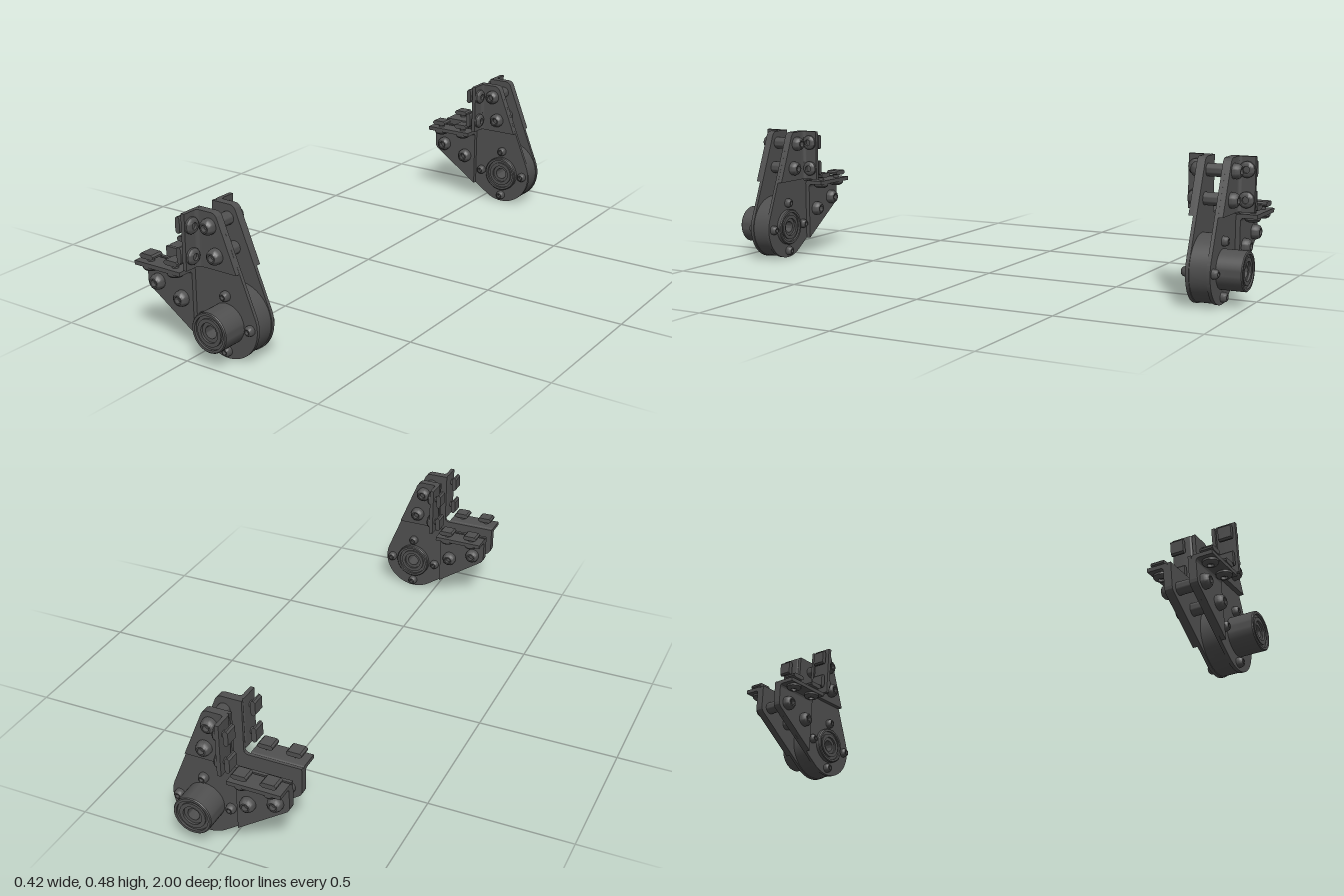
import * as THREE from 'three';
import { toCreasedNormals } from 'three/addons/utils/BufferGeometryUtils.js';

const CX = 0.0925, CY = 0.119, R = 0.118; // axle centre and rounded end radius
const BORE = 0.021;
const MID = 0.87; // distance of each unit from the centre
const V = (x, y, z) => new THREE.Vector3(x, y, z);

const darkGrey = new THREE.MeshStandardMaterial({ color: 0x505050 });
darkGrey.name = 'dark grey';

function mesh(name, geo, parent) {
  const m = new THREE.Mesh(toCreasedNormals(geo, 0.6), darkGrey);
  m.name = name;
  parent.add(m);
  return m;
}

// Turn a part built along +y so that it points along dir
function aim(m, pos, dir) {
  m.position.copy(pos);
  m.quaternion.setFromUnitVectors(V(0, 1, 0), dir);
  return m;
}

const lathe = (pts, seg = 32) =>
  new THREE.LatheGeometry(pts.map(p => new THREE.Vector2(p[0], p[1])), seg);

// Flat sheet in xy, spanning z0..z1
function sheet(name, shape, z0, z1, parent) {
  const geo = new THREE.ExtrudeGeometry(shape, { depth: z1 - z0, bevelEnabled: false, curveSegments: 32 });
  geo.translate(0, 0, z0);
  return mesh(name, geo, parent);
}

function boreHole(shape) {
  shape.holes.push(new THREE.Path().absarc(CX, CY, BORE, 0, Math.PI * 2, false));
  return shape;
}

function sidePlateShape() {
  const s = new THREE.Shape();
  s.moveTo(-0.212, 0.284);
  s.lineTo(-0.028, 0.284);
  s.quadraticCurveTo(-0.012, 0.284, -0.012, 0.3);
  s.lineTo(-0.012, 0.48);
  s.lineTo(0.055, 0.48);
  s.quadraticCurveTo(0.073, 0.48, 0.08, 0.464);
  s.lineTo(CX + R * 0.926, CY + R * 0.377);
  s.absarc(CX, CY, R, 0.387, -2.164, true);
  s.lineTo(-0.2, 0.177);
  s.quadraticCurveTo(-0.212, 0.185, -0.212, 0.2);
  s.closePath();
  return boreHole(s);
}

function upperArmShape() {
  const s = new THREE.Shape();
  s.moveTo(0.018, 0.295);
  s.lineTo(0.148, 0.295);
  s.lineTo(0.08, 0.464);
  s.quadraticCurveTo(0.073, 0.48, 0.055, 0.48);
  s.lineTo(0.018, 0.48);
  s.closePath();
  return s;
}

function lowerArmShape() {
  const s = new THREE.Shape();
  s.moveTo(-0.212, 0.254);
  s.lineTo(-0.212, 0.2);
  s.quadraticCurveTo(-0.212, 0.185, -0.2, 0.177);
  s.lineTo(-0.028, 0.059);
  s.lineTo(-0.028, 0.254);
  s.closePath();
  return s;
}

// Bent flange: u runs outward from the sheet, v runs into the arm
function flange(side, length, origin, uDir, vDir, wDir, parent) {
  const s = new THREE.Shape();
  s.moveTo(side * 0.042, 0.03);
  s.lineTo(side * 0.042, 0.012);
  s.quadraticCurveTo(side * 0.042, 0, side * 0.054, 0);
  s.lineTo(side * 0.115, 0);
  s.lineTo(side * 0.115, 0.014);
  s.lineTo(side * 0.07, 0.014);
  s.quadraticCurveTo(side * 0.058, 0.014, side * 0.058, 0.026);
  s.lineTo(side * 0.058, 0.03);
  s.closePath();
  const geo = new THREE.ExtrudeGeometry(s, { depth: length, bevelEnabled: false, curveSegments: 8 });
  geo.applyMatrix4(new THREE.Matrix4().makeBasis(uDir, vDir, wDir).setPosition(origin));
  mesh('mountingFlange', geo, parent);
}

// Domed bolt head with a recessed socket, scaled by radius and height
function boltHead(name, r, h, pos, dir, parent) {
  const geo = lathe([[r, 0], [r, h * 0.45], [r * 0.85, h * 0.8], [r * 0.6, h],
    [r * 0.42, h], [r * 0.42, h * 0.45], [0, h * 0.45]], 24);
  aim(mesh(name, geo, parent), pos, dir);
}

// Slot nut with chamfered edges, its stem and the bolt head behind the flange
function slotFastener(pos, dir, parent) {
  const g = new THREE.Group();
  g.name = 'slotFastener';
  aim(g, pos, dir);
  parent.add(g);
  mesh('stem', new THREE.CylinderGeometry(0.011, 0.011, 0.03, 16), g).position.y = 0;
  const s = new THREE.Shape();
  s.moveTo(-0.019, 0.011);
  s.lineTo(0.019, 0.011);
  s.lineTo(0.027, 0.016);
  s.lineTo(0.027, 0.022);
  s.lineTo(0.021, 0.028);
  s.lineTo(-0.021, 0.028);
  s.lineTo(-0.027, 0.022);
  s.lineTo(-0.027, 0.016);
  s.closePath();
  const nut = new THREE.ExtrudeGeometry(s, { depth: 0.046, bevelEnabled: false });
  nut.translate(0, 0, -0.023);
  mesh('slotNut', nut, g);
  boltHead('flangeBolt', 0.027, 0.016, V(0, -0.014, 0), V(0, -1, 0), g);
}

// One bracket unit around z = 0; hubSide tells which way the long hub points
function createUnit(hubSide) {
  const unit = new THREE.Group();
  const X = V(1, 0, 0), Y = V(0, 1, 0), Z = V(0, 0, 1);

  // Round core between the plates
  const disc = new THREE.Shape().absarc(CX, CY, R - 0.003, 0, Math.PI * 2, false);
  sheet('core', boreHole(disc), -0.03, 0.03, unit);

  const armBolts = [[0.05, 0.435], [0.073, 0.343], [-0.167, 0.205], [-0.07, 0.171]];
  for (const [x, y] of armBolts) {
    const spacer = mesh('spacer', new THREE.CylinderGeometry(0.022, 0.022, 0.06, 24), unit);
    aim(spacer, V(x, y, 0), Z);
  }

  for (const side of [-1, 1]) {
    const out = V(0, 0, side);
    const span = (a, b) => side > 0 ? [a, b] : [-b, -a];
    sheet('sidePlate', sidePlateShape(), ...span(0.03, 0.042), unit);
    sheet('upperArm', upperArmShape(), ...span(0.042, 0.058), unit);
    sheet('lowerArm', lowerArmShape(), ...span(0.042, 0.058), unit);

    // Upright and level flanges with their fasteners
    flange(side, 0.185, V(-0.012, 0.295, 0), Z, X, Y, unit);
    flange(side, 0.184, V(-0.212, 0.284, 0), Z, V(0, -1, 0), X, unit);
    for (const y of [0.437, 0.337]) slotFastener(V(-0.012, y, side * 0.087), V(-1, 0, 0), unit);
    for (const x of [-0.168, -0.068]) slotFastener(V(x, 0.284, side * 0.087), Y, unit);

    for (const [x, y] of armBolts) boltHead('armBolt', 0.026, 0.027, V(x, y, side * 0.058), out, unit);

    // Ring of small screws around the axle
    for (let i = 0; i < 4; i++) {
      const a = i * Math.PI / 2;
      const p = V(CX + 0.0925 * Math.cos(a), CY + 0.0925 * Math.sin(a), side * 0.042);
      boltHead('hubScrew', 0.017, 0.02, p, out, unit);
    }

    // Stepped bearing hub, long on one side and shallow on the other
    const h = side === hubSide ? 0.088 : 0.016;
    const hub = lathe([[0.067, 0], [0.067, h - 0.003], [0.064, h], [0.056, h], [0.056, h - 0.008],
      [0.046, h - 0.008], [0.046, h - 0.002], [0.033, h - 0.002], [0.033, h - 0.01],
      [BORE, h - 0.01], [BORE, 0]], 48);
    aim(mesh('bearingHub', hub, unit), V(CX, CY, side * 0.042), out);
  }
  return unit;
}

export function createModel() {
  const model = new THREE.Group();
  model.name = 'bracketPair';
  for (const side of [1, -1]) {
    const unit = createUnit(side);
    unit.name = side > 0 ? 'frontBracket' : 'rearBracket';
    unit.position.z = side * MID;
    model.add(unit);
  }
  return model;
}
